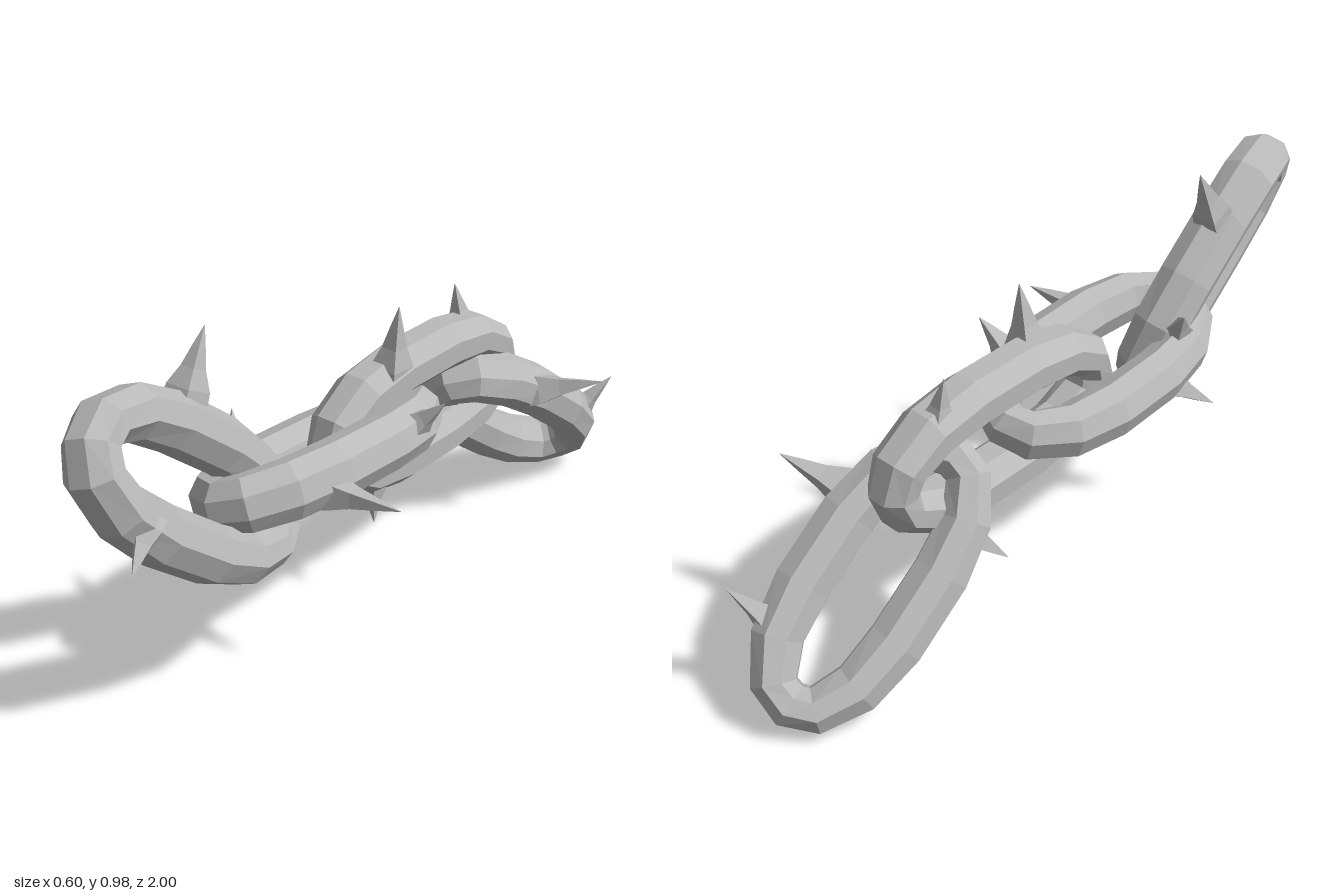
import * as THREE from 'three';

const steel = new THREE.MeshStandardMaterial({ color: 0xbababa });
steel.flatShading = true;
steel.name = 'steel';

// Oblong chain link lying in the local xz plane, long axis along z
function linkGeometry(sides = 8) {
  // centreline x, z, thickness in the plane, thickness across it
  const side = [[0.06, 0.338, 0.056, 0.076], [0.115, 0.24, 0.064, 0.08], [0.135, 0.1, 0.07, 0.08]];
  const right = [...side, ...side.map(([x, z, r, h]) => [x, -z, r, h]).reverse()];
  const path = [
    [0, 0.36, 0.055, 0.07], ...right,
    [0, -0.36, 0.055, 0.07], ...right.map(([x, z, r, h]) => [-x, z, r, h]).reverse(),
  ];
  const n = path.length, pos = [], idx = [];
  path.forEach(([x, z, r, h], i) => {
    const a = path[(i + n - 1) % n], b = path[(i + 1) % n];
    const tangent = new THREE.Vector2(b[0] - a[0], b[1] - a[1]).normalize();
    for (let j = 0; j < sides; j++) {
      const ang = ((j + 0.5) / sides) * Math.PI * 2;
      const k = Math.cos(ang) * r * 1.08;
      pos.push(x - tangent.y * k, Math.sin(ang) * h, z + tangent.x * k);
      const i2 = (i + 1) % n, j2 = (j + 1) % sides;
      const v00 = i * sides + j, v10 = i2 * sides + j;
      const v11 = i2 * sides + j2, v01 = i * sides + j2;
      idx.push(v00, v10, v11, v00, v11, v01);
    }
  });
  const g = new THREE.BufferGeometry();
  g.setAttribute('position', new THREE.Float32BufferAttribute(pos, 3));
  g.setIndex(idx);
  g.computeVertexNormals();
  return g;
}

// Four-sided thorn with a flared foot, running from base to tip
function thorn(base, tip, foot) {
  const a = new THREE.Vector3(...base);
  const dir = new THREE.Vector3(...tip).sub(a), len = dir.length();
  const profile = [[foot, -0.03], [foot * 0.95, 0], [foot * 0.55, len * 0.32], [foot * 0.3, len * 0.65], [0.0005, len]]
    .map(([r, y]) => new THREE.Vector2(r, y));
  const mesh = new THREE.Mesh(new THREE.LatheGeometry(profile, 4, Math.PI / 4), steel);
  mesh.position.copy(a);
  mesh.quaternion.setFromUnitVectors(new THREE.Vector3(0, 1, 0), dir.normalize());
  return mesh;
}

export function createModel() {
  const root = new THREE.Group();
  root.name = 'thornyChain';
  const X = -0.065, geo = linkGeometry();

  // Links: name, y, z, pitch (front end up), roll, in degrees
  const links = [
    ['frontLink', 0.635, 0.655, 41, 114],
    ['secondLink', 0.52, 0.195, 3, 19],
    ['thirdLink', 0.515, -0.2, 0, 90],
    ['backLink', 0.295, -0.645, 37, 36],
  ];
  for (const [name, y, z, pitch, roll] of links) {
    const link = new THREE.Mesh(geo, steel);
    link.name = name;
    link.position.set(X, y, z);
    link.rotation.set(-THREE.MathUtils.degToRad(pitch), 0, THREE.MathUtils.degToRad(roll));
    root.add(link);
  }

  // Thorns: base, tip, foot radius
  const thorns = [
    [[-0.13, 0.85, 0.58], [-0.135, 0.985, 0.51], 0.055],
    [[0.035, 0.67, 0.88], [0.08, 0.615, 0.97], 0.045],
    [[-0.175, 0.57, 0.4], [-0.235, 0.66, 0.345], 0.045],
    [[-0.21, 0.43, 0.35], [-0.3, 0.375, 0.42], 0.05],
    [[0.1, 0.54, 0.34], [0.3, 0.553, 0.32], 0.055],
    [[0.09, 0.58, 0], [0.17, 0.66, -0.02], 0.05],
    [[-0.035, 0.69, -0.055], [-0.02, 0.86, -0.065], 0.06],
    [[-0.085, 0.67, -0.42], [-0.1, 0.785, -0.41], 0.045],
    [[-0.045, 0.34, 0.015], [-0.025, 0.245, 0.035], 0.04],
    [[0.1, 0.45, -0.58], [0.265, 0.505, -0.64], 0.06],
    [[-0.18, 0.36, -0.42], [-0.255, 0.29, -0.36], 0.05],
    [[0.05, 0.25, -0.88], [0.115, 0.35, -0.945], 0.05],
  ];
  thorns.forEach((t, i) => {
    const mesh = thorn(...t);
    mesh.name = `thorn${i + 1}`;
    root.add(mesh);
  });
  return root;
}
